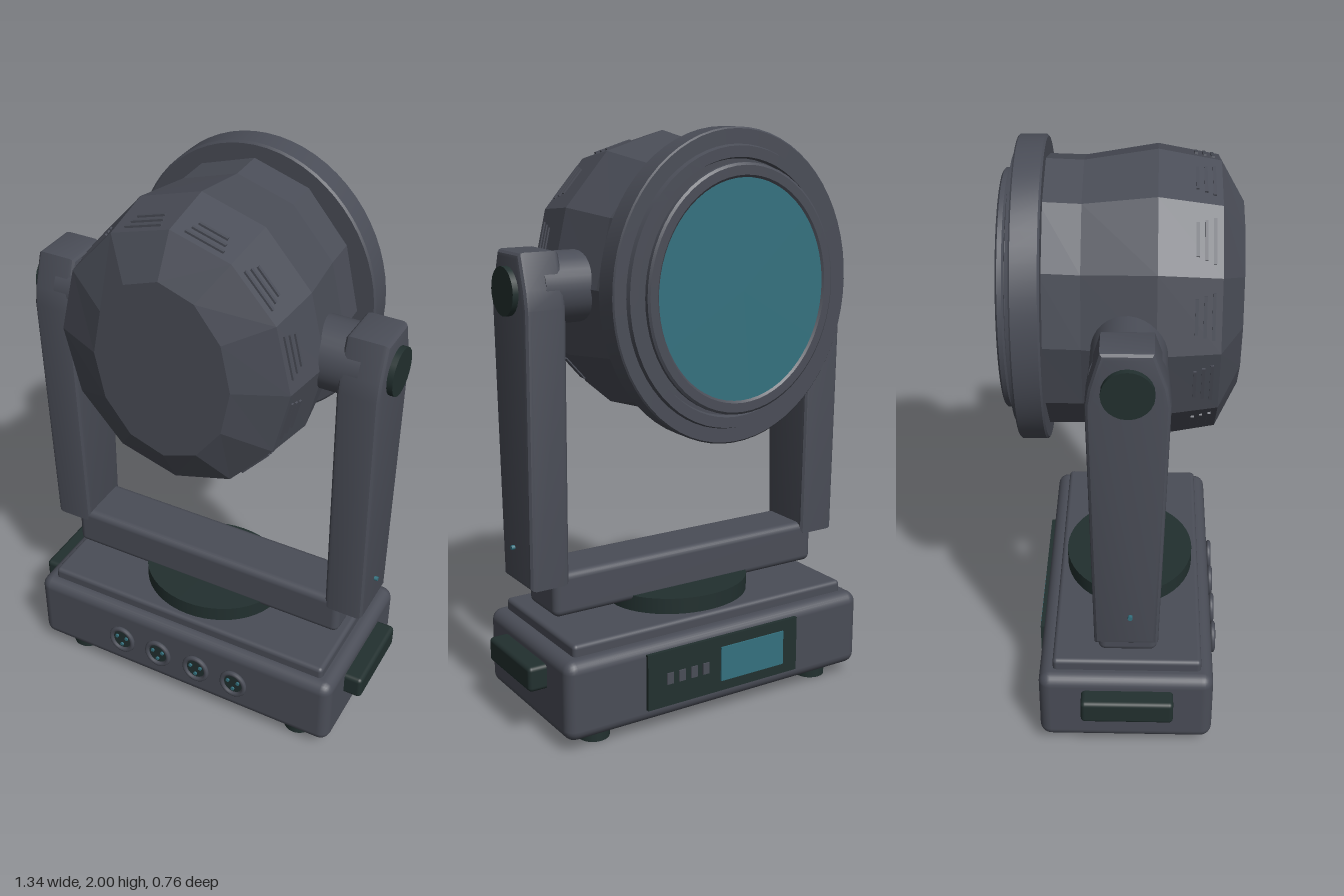
import * as THREE from 'three';
import { toCreasedNormals } from 'three/addons/utils/BufferGeometryUtils.js';
import { RoundedBoxGeometry } from 'three/addons/geometries/RoundedBoxGeometry.js';

const HEAD_Y = 1.493, AXIS_Z = 0.027, OVAL = 0.887, SIDES = 12;

export function createModel() {
  const model = new THREE.Group();
  model.name = 'movingHeadLight';
  const mat = (name, color) => {
    const m = new THREE.MeshStandardMaterial({ color });
    m.name = name;
    return m;
  };
  const body = mat('graphite grey', 0x4a4d57);
  const dark = mat('dark green black', 0x22302f);
  const teal = mat('teal glass', 0x34717f);

  const add = (name, geometry, material, x = 0, y = 0, z = 0, parent = model) => {
    const mesh = new THREE.Mesh(geometry, material);
    mesh.name = name;
    mesh.position.set(x, y, z);
    parent.add(mesh);
    return mesh;
  };
  const rbox = (w, h, d, r) => new RoundedBoxGeometry(w, h, d, 3, r);
  const box = (w, h, d) => new THREE.BoxGeometry(w, h, d);
  const cyl = (r, h, n = 32) => new THREE.CylinderGeometry(r, r, h, n);
  const cylX = (r, h, n) => cyl(r, h, n).rotateZ(Math.PI / 2);
  const cylZ = (r, h, n) => cyl(r, h, n).rotateX(Math.PI / 2);
  // Oval lathe about the head axis; points are [radius, distance towards the back]
  const ovalLathe = (pts) => toCreasedNormals(
    new THREE.LatheGeometry(pts.map(p => new THREE.Vector2(...p)), 64)
      .rotateX(-Math.PI / 2).scale(OVAL, 1, 1), 0.6);

  // Base
  add('base', rbox(1.21, 0.28, 0.6, 0.04), body, 0, 0.18, 0.022);
  add('baseTopPlate', rbox(1.11, 0.08, 0.51, 0.015), body, 0, 0.32, 0.025);
  add('turntable', cyl(0.263, 0.06, 48).scale(1, 1, 0.878), dark, 0, 0.386, 0.025);
  for (const x of [-0.46, 0.46]) for (const z of [0.235, -0.178])
    add('foot', cyl(0.055, 0.05, 24), dark, x, 0.025, z);
  for (const s of [-1, 1])
    add('sideHandle', rbox(0.085, 0.088, 0.315, 0.015), dark, s * 0.627, 0.227, 0.027);

  // Front sockets, each with three pins
  for (const x of [-0.235, -0.08, 0.08, 0.235]) {
    const socket = new THREE.Group();
    socket.name = 'socket';
    socket.position.set(x, 0.183, 0.322);
    model.add(socket);
    add('socketRim', new THREE.TorusGeometry(0.045, 0.009, 8, 32).scale(1, 1.12, 1), body, 0, 0, 0.012, socket);
    add('socketFace', cylZ(0.045, 0.024).scale(1, 1.12, 1), dark, 0, 0, 0, socket);
    for (let i = 0; i < 3; i++) {
      const a = -Math.PI / 2 + i * Math.PI * 2 / 3;
      add('socketPin', cylZ(0.007, 0.008, 10), teal, Math.cos(a) * 0.023, Math.sin(a) * 0.023, 0.014, socket);
    }
  }

  // Rear control panel
  add('controlPanel', box(0.62, 0.2, 0.016), dark, 0, 0.19, -0.282);
  add('screen', box(0.265, 0.125, 0.006), teal, -0.115, 0.19, -0.292);
  for (let i = 0; i < 4; i++)
    add('panelButton', box(0.026, 0.04, 0.006), body, 0.08 + i * 0.048, 0.19, -0.292);

  // Yoke
  add('yokeBeam', rbox(1.08, 0.155, 0.2, 0.025), body, 0, 0.472, AXIS_Z);
  const b = 0.02;
  const outline = new THREE.Shape([
    [0.13 - b, 0.51 + b], [0.155 - b, 1.44], [0.145 - b, 1.5], [0.1 - b / 2, 1.62 - b],
    [-0.05 + b / 2, 1.62 - b], [-0.09 + b, 1.5], [-0.1 + b, 1.44], [-0.082 + b, 0.51 + b],
  ].map(p => new THREE.Vector2(...p)));
  const armGeo = toCreasedNormals(new THREE.ExtrudeGeometry(outline, {
    depth: 0.145 - 2 * b, bevelThickness: b, bevelSize: b, bevelSegments: 3,
  }).translate(0, 0, b - 0.0725).rotateY(-Math.PI / 2), 0.5);
  for (const s of [-1, 1]) {
    add('yokeArm', armGeo, body, s * 0.557, 0, 0);
    add('tiltPivot', cylX(0.118, 0.2), body, s * 0.45, HEAD_Y, AXIS_Z);
    add('pivotCap', cylX(0.08, 0.024, 24), dark, s * 0.637, HEAD_Y, AXIS_Z);
    add('armLight', cylX(0.008, 0.02, 10), teal, s * 0.632, 0.635, 0.037);
  }

  // Head
  const head = new THREE.Group();
  head.name = 'head';
  head.position.y = HEAD_Y;
  model.add(head);

  // Faceted shell from oval rings: [z, half width, half height]
  const rings = [[0.38, 0, 0], [0.38, 0.24, 0.318], [0.305, 0.405, 0.453], [0.11, 0.43, 0.49],
    [-0.12, 0.39, 0.452], [-0.25, 0.385, 0.457], [-0.25, 0, 0]];
  const corner = ([z, rx, ry], k) => {
    const a = k * Math.PI * 2 / SIDES;
    return new THREE.Vector3(Math.cos(a) * rx, Math.sin(a) * ry, z);
  };
  const tris = [];
  for (let i = 0; i < rings.length - 1; i++) for (let k = 0; k < SIDES; k++) {
    const p = corner(rings[i], k), q = corner(rings[i], k + 1);
    const r = corner(rings[i + 1], k), t = corner(rings[i + 1], k + 1);
    if (rings[i][1] > 0) tris.push(p, r, q);
    if (rings[i + 1][1] > 0) tris.push(q, r, t);
  }
  const shell = new THREE.BufferGeometry().setFromPoints(tris);
  shell.computeVertexNormals();
  add('headShell', shell, body, 0, 0, 0, head);

  // Three cooling slats on each facet
  for (let k = 0; k < SIDES; k++) for (let j = 0; j < 3; j++) {
    const z = 0.28 - j * 0.026, f = (0.305 - z) / 0.195;
    const ring = [z, 0.405 + 0.025 * f, 0.453 + 0.037 * f];
    const p = corner(ring, k), q = corner(ring, k + 1);
    const slat = add('coolingSlat', box(p.distanceTo(q) * (0.62 - j * 0.08), 0.012, 0.01), body, 0, 0, 0, head);
    slat.position.copy(p).lerp(q, 0.5);
    slat.rotation.z = Math.atan2(q.y - p.y, q.x - p.x);
  }

  // Lens end
  add('frontRing', ovalLathe([[0, 0.238], [0.5, 0.238], [0.507, 0.244], [0.507, 0.325], [0.502, 0.33],
    [0.455, 0.33], [0.45, 0.345], [0.415, 0.345], [0.41, 0.33], [0, 0.33]]), body, 0, 0, 0, head);
  add('lensBarrel', ovalLathe([[0.375, 0.32], [0.375, 0.365], [0, 0.365]]), body, 0, 0, 0, head);
  add('lensRim', ovalLathe([[0.35, 0.354], [0.392, 0.354], [0.4, 0.36], [0.4, 0.374], [0.392, 0.38],
    [0.362, 0.38], [0.352, 0.372], [0.35, 0.354]]), body, 0, 0, 0, head);
  add('lens', ovalLathe([[0.356, 0.366], [0.356, 0.374], [0, 0.374]]), teal, 0, 0, 0, head);

  return model;
}
